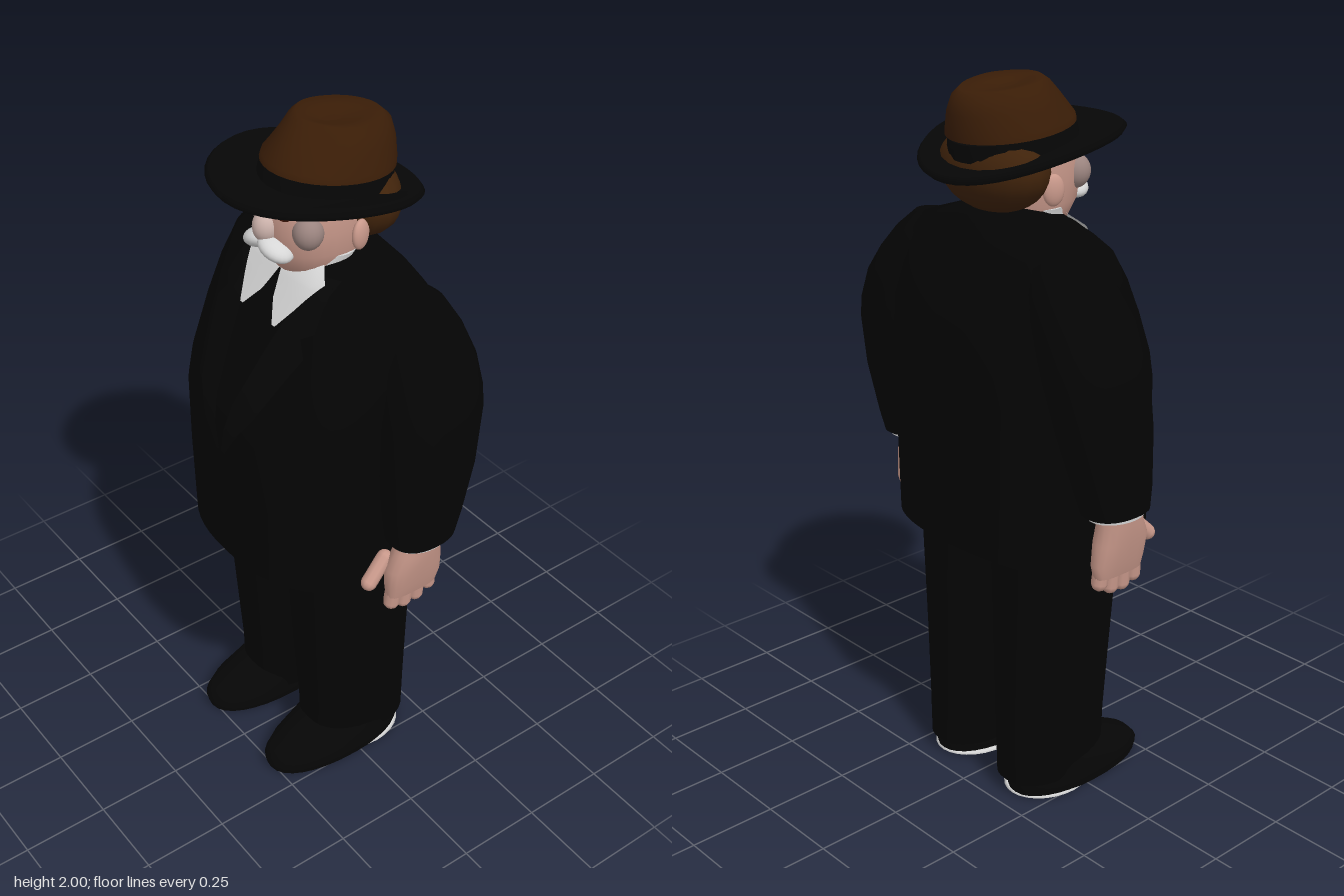
import * as THREE from 'three';

const mat = (name, color, side = THREE.FrontSide) => {
  const m = new THREE.MeshStandardMaterial({ color, side });
  m.name = name;
  return m;
};

// Surface through horizontal rounded sections, listed from bottom to top:
// [y, centreX, centreZ, halfWidth, frontZ, backZ, squareness (1 = ellipse, lower = boxier)]
function loft(rows, n = 32) {
  const pos = [], idx = [];
  const pw = (v, e) => Math.sign(v) * Math.abs(v) ** e;
  const ring = ([y, cx, cz, rx, zf, zb, e = 1]) => {
    for (let j = 0; j < n; j++) {
      const a = (j / n) * Math.PI * 2, s = pw(Math.sin(a), e);
      pos.push(cx + rx * pw(Math.cos(a), e), y, cz + s * (s > 0 ? zf - cz : cz - zb));
    }
  };
  rows.forEach(ring);
  for (let i = 0; i < rows.length - 1; i++) for (let j = 0; j < n; j++) {
    const a = i * n + j, b = i * n + (j + 1) % n;
    idx.push(a, a + n, b, b, a + n, b + n);
  }
  // closed ends with their own vertices, so the rim stays sharp
  [rows[0], rows[rows.length - 1]].forEach((r, top) => {
    const s = pos.length / 3;
    ring(r);
    pos.push(r[1], r[0], r[2]);
    for (let j = 0; j < n; j++) {
      const k = s + (j + 1) % n;
      if (top) idx.push(s + n, k, s + j); else idx.push(s + n, s + j, k);
    }
  });
  const g = new THREE.BufferGeometry();
  g.setAttribute('position', new THREE.Float32BufferAttribute(pos, 3));
  g.setIndex(idx);
  g.computeVertexNormals();
  return g;
}

const CZ = -0.08;
const TORSO = [
  [0.76, 0, CZ, 0.355, 0.285, -0.28, 0.78], [1.0, 0, CZ, 0.362, 0.29, -0.28, 0.78],
  [1.2, 0, CZ, 0.365, 0.29, -0.28, 0.78], [1.28, 0, CZ, 0.365, 0.27, -0.28, 0.78],
  [1.4, 0, CZ, 0.365, 0.21, -0.275, 0.78], [1.5, 0, CZ, 0.355, 0.155, -0.25, 0.78],
  [1.58, 0, CZ, 0.338, 0.1, -0.215, 0.8], [1.61, 0, CZ, 0.29, 0.08, -0.2, 0.85],
  [1.66, 0, CZ, 0.14, 0.04, -0.16, 1], [1.69, 0, CZ, 0.08, 0.0, -0.13, 1],
];

// Depth of the jacket front at a given x and y
function frontZ(x, y) {
  let i = 0;
  while (i < TORSO.length - 2 && TORSO[i + 1][0] < y) i++;
  const a = TORSO[i], b = TORSO[i + 1], t = (y - a[0]) / (b[0] - a[0]);
  const [rx, zf, e] = [3, 4, 6].map((k) => a[k] + (b[k] - a[k]) * t);
  const u = Math.min(1, Math.abs(x) / rx);
  return CZ + (zf - CZ) * (1 - u ** (2 / e)) ** (e / 2);
}

// Thin cloth lying on the jacket front; rows are [y, inner x, outer x]
function drape(rows, lift) {
  const g = new THREE.PlaneGeometry(1, 1, 6, (rows.length - 1) * 4), p = g.attributes.position;
  for (let i = 0; i < p.count; i++) {
    const v = (0.5 - p.getY(i)) * (rows.length - 1), k = Math.min(rows.length - 2, Math.floor(v));
    const [y, a, b] = rows[k].map((c, j) => c + (rows[k + 1][j] - c) * (v - k));
    const x = a + (b - a) * (p.getX(i) + 0.5);
    p.setXYZ(i, x, y, frontZ(x, y) + lift);
  }
  g.computeVertexNormals();
  return g;
}

export function createModel() {
  const black = mat('black cloth', 0x040404, THREE.DoubleSide);
  const felt = mat('black felt', 0x060606, THREE.DoubleSide);
  const brown = mat('brown felt', 0x3a1d07);
  const hairBrown = mat('brown hair', 0x40230b);
  const skin = mat('skin', 0xc9998b);
  const lip = mat('lip', 0xa86a5e);
  const white = mat('white', 0xd6d6d6, THREE.DoubleSide);
  const pale = mat('pale nose', 0xcdb3ac);
  const grey = mat('greyish cheek', 0x9c8580);
  const eyeBrown = mat('eye brown', 0x55200f);

  const model = new THREE.Group();
  const add = (parent, name, geo, m, pos = [0, 0, 0], scale = [1, 1, 1], rot = [0, 0, 0]) => {
    const mesh = new THREE.Mesh(geo, m);
    mesh.name = name;
    mesh.position.set(...pos);
    mesh.scale.set(...scale);
    mesh.rotation.set(...rot);
    parent.add(mesh);
    return mesh;
  };
  const ball = new THREE.SphereGeometry(1, 20, 14);

  add(model, 'jacket', loft(TORSO, 64), black);

  // Head and neck
  add(model, 'head', loft([
    [1.56, 0, -0.02, 0.075, 0.06, -0.11], [1.6, 0, -0.02, 0.085, 0.085, -0.11],
    [1.63, 0, -0.02, 0.11, 0.11, -0.12], [1.68, 0, -0.02, 0.128, 0.13, -0.13, 0.9],
    [1.74, 0, -0.02, 0.135, 0.138, -0.14, 0.9], [1.79, 0, -0.02, 0.135, 0.135, -0.14, 0.9],
    [1.87, 0, -0.02, 0.13, 0.12, -0.14],
  ]), skin);
  add(model, 'hair', ball, hairBrown, [0, 1.775, -0.115], [0.178, 0.115, 0.112]);
  add(model, 'nose', ball, pale, [0, 1.745, 0.133], [0.034, 0.045, 0.038]);
  add(model, 'lip', ball, lip, [0, 1.65, 0.112], [0.04, 0.012, 0.015]);
  add(model, 'collarBand', loft([[1.58, 0, -0.02, 0.12, 0.085, -0.1],
    [1.64, 0, -0.02, 0.122, 0.09, -0.1], [1.672, 0, -0.02, 0.132, 0.06, -0.1]]), white);

  // Everything that exists once per side, built for the left and mirrored
  for (const side of [1, -1]) {
    const half = new THREE.Group();
    half.name = side > 0 ? 'leftSide' : 'rightSide';
    half.scale.x = side;
    model.add(half);

    // Face
    add(half, 'moustache', ball, white, [0.034, 1.697, 0.13], [0.052, 0.026, 0.042], [0, 0.25, -0.4]);
    add(half, 'eye', ball, eyeBrown, [0.058, 1.8, 0.128], [0.028, 0.018, 0.009], [0, 0.2, 0]);
    add(half, 'cheek', ball, grey, [0.098, 1.752, 0.078], [0.04, 0.046, 0.042], [0, 0.75, 0]);
    add(half, 'ear', ball, skin, [0.148, 1.728, -0.045], [0.016, 0.042, 0.03], [0, 0.3, 0]);

    // Shirt collar and lapel
    add(half, 'collar', drape([[1.655, 0.0, 0.1], [1.62, 0, 0.15], [1.585, 0.012, 0.128],
      [1.55, 0.025, 0.108], [1.5, 0.064, 0.076]], 0.014), white);
    add(half, 'lapel', drape([[1.63, 0.1, 0.17], [1.52, 0.09, 0.19], [1.5, 0.085, 0.16],
      [1.46, 0.075, 0.19], [1.28, 0.035, 0.12], [1.12, 0.005, 0.02]], 0.005), felt);

    // Sleeve, cuff and hand
    add(half, 'sleeve', loft([
      [0.935, 0.406, -0.06, 0.074, 0.035, -0.16, 0.85], [1.0, 0.403, -0.07, 0.082, 0.042, -0.18, 0.85],
      [1.15, 0.39, -0.09, 0.097, 0.045, -0.22, 0.8], [1.3, 0.37, -0.1, 0.109, 0.04, -0.248, 0.8],
      [1.36, 0.357, -0.11, 0.112, 0.03, -0.25, 0.8], [1.44, 0.33, -0.11, 0.112, 0.02, -0.245, 0.8],
      [1.51, 0.295, -0.11, 0.103, 0.0, -0.23, 0.85], [1.57, 0.268, -0.11, 0.085, -0.02, -0.2, 0.9],
      [1.61, 0.25, -0.1, 0.07, -0.05, -0.15],
    ]), black);
    add(half, 'cuff', loft([[0.922, 0.407, -0.058, 0.064, 0.024, -0.145],
      [0.95, 0.407, -0.058, 0.066, 0.026, -0.147]]), white);
    add(half, 'palm', loft([
      [0.75, 0.4, -0.045, 0.026, 0.036, -0.125, 0.7], [0.79, 0.402, -0.045, 0.036, 0.042, -0.135, 0.8],
      [0.85, 0.406, -0.045, 0.044, 0.045, -0.128, 0.8], [0.9, 0.41, -0.05, 0.048, 0.025, -0.122],
      [0.95, 0.41, -0.05, 0.052, 0.015, -0.125],
    ], 20), skin);
    for (let i = 0; i < 4; i++) {
      const len = [0.045, 0.058, 0.055, 0.035][i];
      add(half, 'finger', new THREE.CapsuleGeometry(0.0225, len, 4, 10), skin,
        [0.397, 0.767 - len / 2, 0.016 - i * 0.04], [1, 1, 1], [(i - 1.5) * 0.05, 0, -0.08]);
    }
    add(half, 'thumb', new THREE.CapsuleGeometry(0.022, 0.08, 4, 10), skin,
      [0.378, 0.843, 0.058], [1, 1, 1], [-0.8, 0, 0.1]);

    // Trouser leg and shoe
    add(half, 'trouserLeg', loft([
      [0.05, 0.146, -0.04, 0.108, 0.115, -0.212, 0.8], [0.2, 0.145, -0.04, 0.113, 0.12, -0.212, 0.8],
      [0.4, 0.145, -0.04, 0.122, 0.135, -0.212, 0.8], [0.6, 0.147, -0.04, 0.132, 0.148, -0.212, 0.8],
      [0.8, 0.148, -0.04, 0.144, 0.16, -0.212, 0.8],
    ]), black);
    add(half, 'shoe', loft([
      [0.004, 0.157, 0.02, 0.105, 0.262, -0.19, 0.9], [0.03, 0.158, 0.02, 0.11, 0.268, -0.195, 0.9],
      [0.055, 0.157, 0.02, 0.108, 0.245, -0.195, 0.9], [0.085, 0.154, 0.0, 0.104, 0.18, -0.195, 0.9],
      [0.125, 0.15, -0.03, 0.096, 0.11, -0.19, 0.9],
    ]), felt);
    add(half, 'heelRim', new THREE.TorusGeometry(0.088, 0.022, 8, 28), white,
      [0.153, 0.004, -0.06], [1, 1.25, 0.17], [Math.PI / 2, 0, 0]);
  }

  // Hat: curled brim and band tilted back, with a dented crown
  const hat = new THREE.Group();
  hat.name = 'hat';
  hat.position.set(0, 1.812, -0.014);
  hat.rotation.x = -0.17;
  model.add(hat);
  const profile = [[0.1, -0.012], [0.2, -0.014], [0.25, -0.008], [0.26, 0.004], [0.25, 0.016], [0.2, 0.012], [0.1, 0.02]];
  const brim = new THREE.LatheGeometry(profile.map(([r, y]) => new THREE.Vector2(r, y)), 40);
  const bp = brim.attributes.position;
  for (let i = 0; i < bp.count; i++) bp.setY(i, bp.getY(i) + 0.035 * (bp.getX(i) / 0.26) ** 2);
  brim.computeVertexNormals();
  add(hat, 'brim', brim, felt, [0, 0, 0], [1, 1, 1.09]);
  add(hat, 'band', loft([[0, 0, -0.03, 0.163, 0.15, -0.21], [0.04, 0, -0.03, 0.16, 0.147, -0.208],
    [0.07, 0, -0.03, 0.154, 0.14, -0.203]]), felt);
  const crown = loft([
    [0.064, 0, -0.04, 0.158, 0.145, -0.212], [0.08, 0, -0.04, 0.155, 0.142, -0.212],
    [0.13, 0, -0.04, 0.136, 0.115, -0.208], [0.165, 0, -0.04, 0.118, 0.085, -0.195],
    [0.184, 0, -0.04, 0.098, 0.06, -0.17], [0.176, 0, -0.04, 0.055, 0.03, -0.12],
    [0.17, 0, -0.04, 0.015, 0.0, -0.06],
  ]);
  const cp = crown.attributes.position;
  for (let i = 0; i < cp.count; i++) {
    // front pinch on both sides of the crown
    const y = cp.getY(i), z = cp.getZ(i);
    if (y > 0.1 && z > 0) cp.setX(i, cp.getX(i) * (1 - 2.2 * z));
  }
  crown.computeVertexNormals();
  add(hat, 'crown', crown, brown, [0, 0, 0], [1, 1, 1], [0.06, 0, 0]);
  return model;
}
